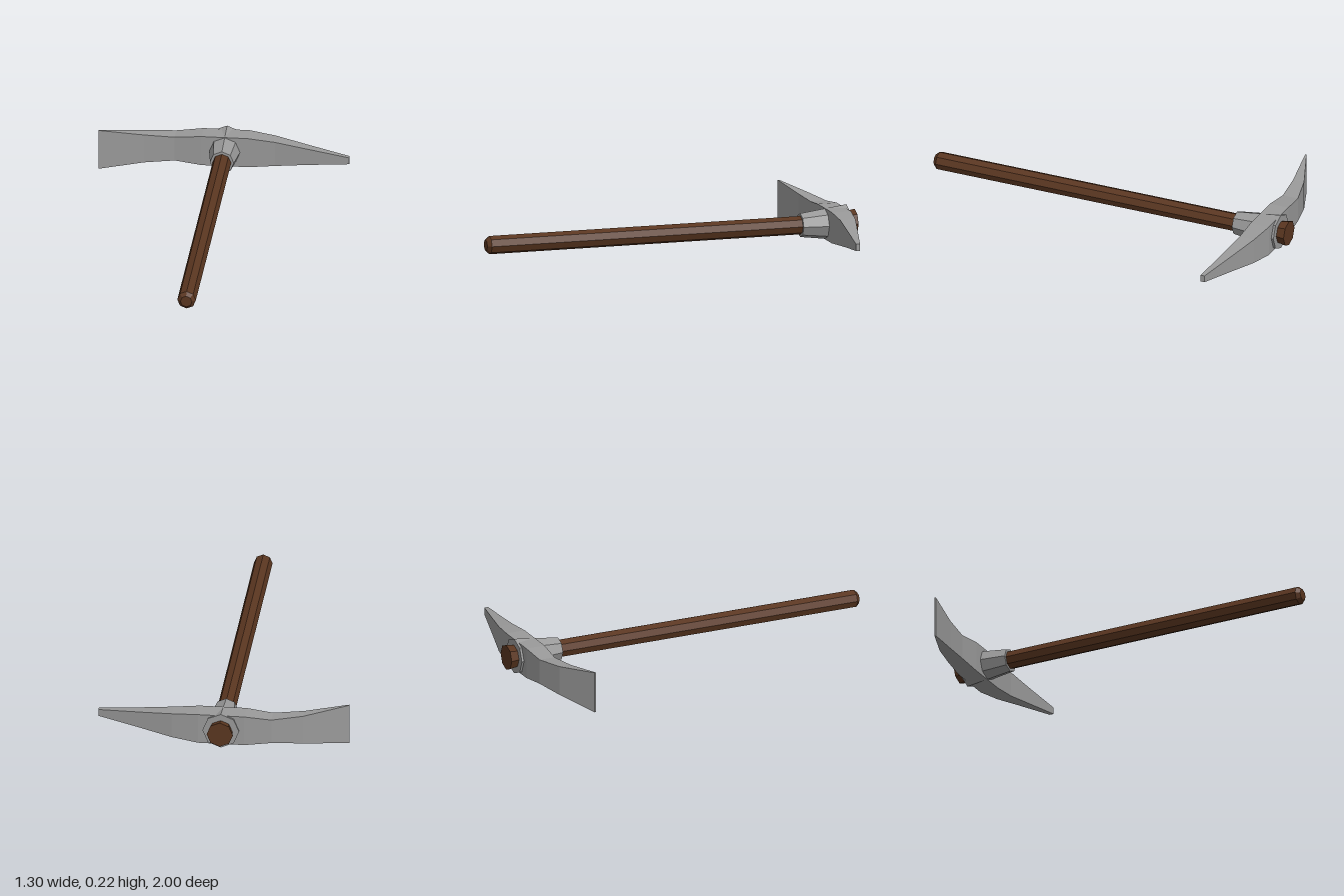
import * as THREE from 'three';

const AXIS_Y = 0.11; // height of the handle's centre line

const wood = new THREE.MeshStandardMaterial({ color: 0x5a3620, flatShading: true });
const steel = new THREE.MeshStandardMaterial({ color: 0xcccccc, flatShading: true });
steel.color.set(0x9a9a9a);

// Eight-sided turned part along z; profile rows are [radius, z] from back to front
function octagonal(name, profile, material) {
  const points = profile.map(([r, z]) => new THREE.Vector2(r, z));
  const mesh = new THREE.Mesh(new THREE.LatheGeometry(points, 8), material);
  mesh.name = name;
  mesh.rotation.x = Math.PI / 2;
  mesh.position.y = AXIS_Y;
  return mesh;
}

// Rectangular sections [x, half height, back z, front z] joined into a solid bar
function sectionBar(sections) {
  const positions = [];
  const index = [];
  for (const [x, h, back, front] of sections) {
    positions.push(x, -h, back, x, -h, front, x, h, front, x, h, back);
  }
  const last = (sections.length - 1) * 4;
  for (let base = 0; base < last; base += 4) {
    for (let j = 0; j < 4; j++) {
      const a = base + j;
      const b = base + ((j + 1) % 4);
      index.push(a, a + 4, b, b, a + 4, b + 4);
    }
  }
  // End caps
  index.push(0, 1, 2, 0, 2, 3);
  index.push(last, last + 2, last + 1, last, last + 3, last + 2);
  const geometry = new THREE.BufferGeometry();
  geometry.setAttribute('position', new THREE.Float32BufferAttribute(positions, 3));
  geometry.setIndex(index);
  const flat = geometry.toNonIndexed();
  flat.computeVertexNormals();
  return flat;
}

export function createModel() {
  const model = new THREE.Group();
  model.name = 'pickaxe';

  // Wooden shaft with a bevelled grip end and a flared head end
  model.add(octagonal('handle', [
    [0, -1], [0.068, -1], [0.05, -0.9], [0.048, -0.7],
    [0.048, 0.98], [0.03, 1], [0, 1],
  ], wood));

  // Tapered socket holding the head on the shaft
  model.add(octagonal('socket', [
    [0.045, -0.955], [0.095, -0.955], [0.062, -0.705], [0.045, -0.705],
  ], steel));

  // Curved head: wide adze blade on -x, narrow pick on +x
  const head = new THREE.Mesh(sectionBar([
    [-0.65, 0.109, -0.803, -0.795],
    [-0.42, 0.078, -0.894, -0.832],
    [-0.26, 0.066, -0.932, -0.847],
    [-0.12, 0.081, -0.942, -0.838],
    [0.12, 0.081, -0.942, -0.838],
    [0.26, 0.067, -0.92, -0.838],
    [0.42, 0.046, -0.878, -0.822],
    [0.65, 0.018, -0.818, -0.796],
  ]), steel);
  head.name = 'head';
  head.position.y = AXIS_Y;
  model.add(head);

  return model;
}
